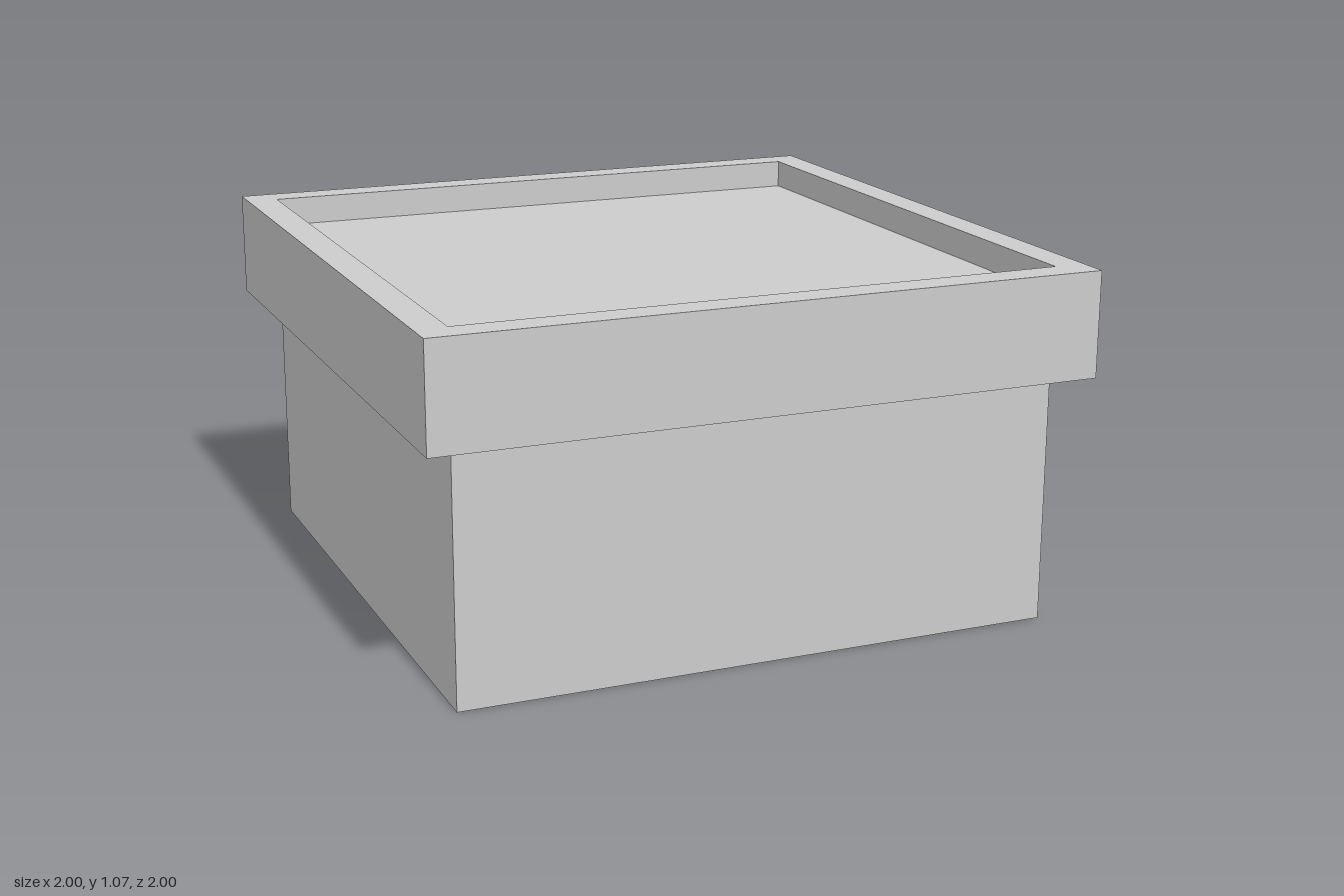
import * as THREE from 'three';

const BODY = 0.906, HEIGHT = 1.07, LIP = 0.754, FLOOR = 0.983;

// Square-section solid from a profile of [half width, y] points
function squareLathe(name, profile, material) {
  const points = profile.map(([w, y]) => new THREE.Vector2(w * Math.SQRT2, y));
  const geometry = new THREE.LatheGeometry(points, 4, Math.PI / 4);
  const mesh = new THREE.Mesh(geometry, material);
  mesh.name = name;
  return mesh;
}

export function createModel() {
  const group = new THREE.Group();
  group.name = 'squarePlanter';
  const material = new THREE.MeshStandardMaterial({ color: 0xcccccc, flatShading: true });

  // Square body standing on the ground
  const body = new THREE.Mesh(new THREE.BoxGeometry(BODY * 2, LIP, BODY * 2), material);
  body.name = 'body';
  body.position.y = LIP / 2;
  group.add(body);

  // Overhanging rim: underside, outer wall, top edge, inner wall
  group.add(squareLathe('rim', [
    [BODY, LIP], [1, LIP], [1, HEIGHT], [BODY, HEIGHT], [BODY, FLOOR],
  ], material));

  // Recessed top surface inside the rim
  const floor = new THREE.Mesh(new THREE.PlaneGeometry(BODY * 2, BODY * 2), material);
  floor.name = 'recessedTop';
  floor.rotation.x = -Math.PI / 2;
  floor.position.y = FLOOR;
  group.add(floor);

  return group;
}
